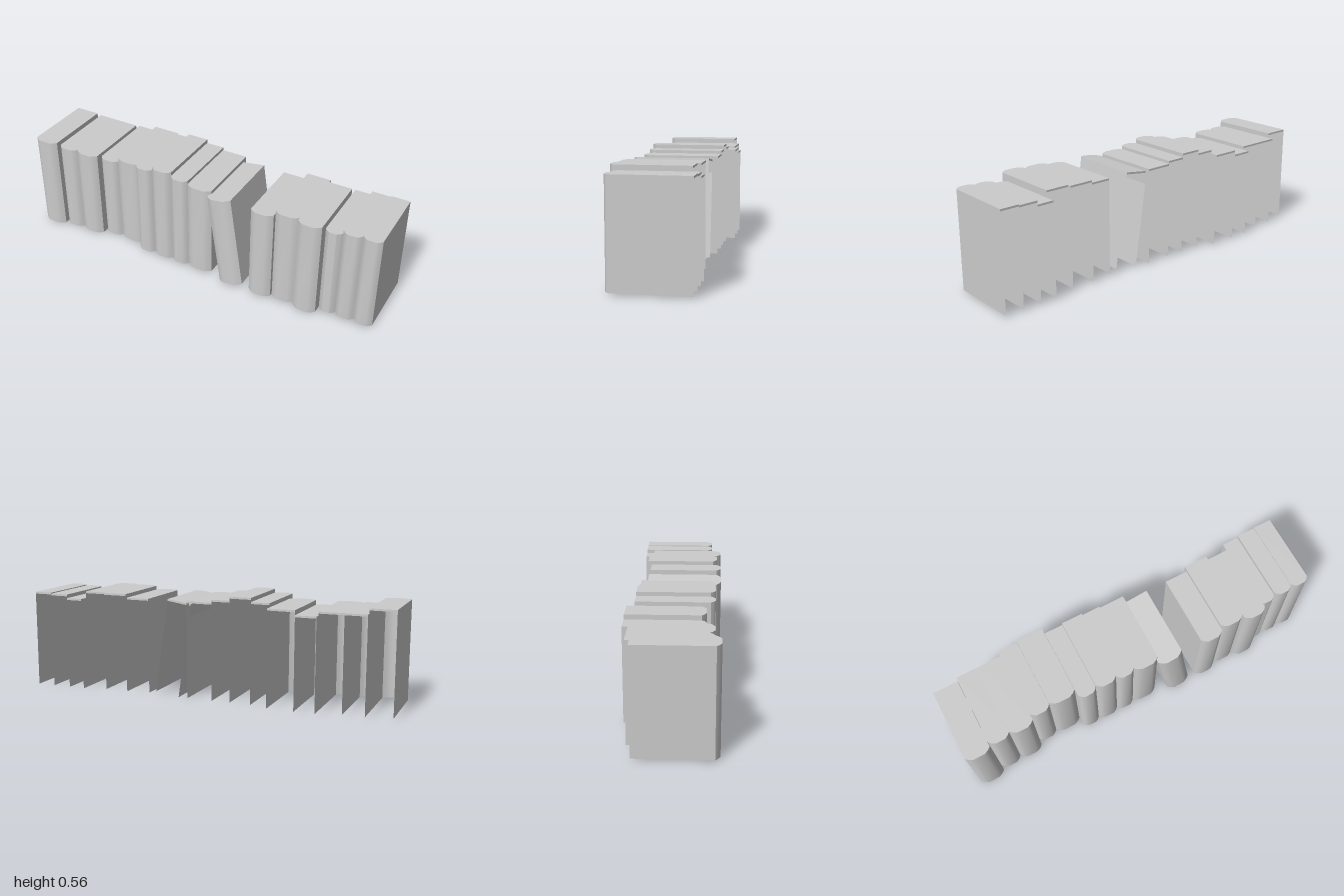
import * as THREE from 'three';
import { toCreasedNormals } from 'three/addons/utils/BufferGeometryUtils.js';

const grey = new THREE.MeshStandardMaterial({ color: 0xcccccc, side: THREE.DoubleSide });
grey.name = 'grey';

// Half of the rounded spine: [fraction of width, setback from the front]
const half = [[0, 0.025], [0.12, 0.011], [0.28, 0.001]];
const spine = [...half, ...half.map(([f, d]) => [1 - f, d]).reverse()];

// Hollow book shell, open at the back and bottom; left bottom edge lies on x = 0, y = 0
function bookGeometry(width, height, back, front) {
  const outline = [[0, back], ...spine.map(([f, d]) => [f * width, front - d]), [width, back]];
  const pos = [];
  const quad = (a, b, y0, y1) => {
    const [p, q, r, s] = [[a[0], y0, a[1]], [b[0], y0, b[1]], [b[0], y1, b[1]], [a[0], y1, a[1]]];
    pos.push(...p, ...q, ...r, ...p, ...r, ...s);
  };
  // Covers and spine
  for (let i = 0; i < outline.length - 1; i++) quad(outline[i], outline[i + 1], 0, height);
  // Narrow lip under the rear edge of the top
  quad(outline[outline.length - 1], outline[0], height - 0.01, height);
  // Top
  for (let i = 1; i < outline.length - 1; i++) {
    for (const [x, z] of [outline[0], outline[i], outline[i + 1]]) pos.push(x, height, z);
  }
  const geometry = new THREE.BufferGeometry();
  geometry.setAttribute('position', new THREE.Float32BufferAttribute(pos, 3));
  return toCreasedNormals(geometry, 0.6);
}

// Upright books: left edge, right edge, top, back, front
const books = [
  [-1, -0.865, 0.546, -0.17, 0.235],
  [-0.865, -0.75, 0.52, -0.2, 0.205],
  [-0.75, -0.62, 0.52, -0.2, 0.205],
  [-0.62, -0.51, 0.5, -0.235, 0.165],
  [-0.51, -0.365, 0.525, -0.235, 0.165],
  [-0.365, -0.265, 0.546, -0.195, 0.207],
  [-0.265, -0.15, 0.567, -0.195, 0.207],
  [-0.15, -0.05, 0.546, -0.195, 0.207],
  [-0.05, 0.09, 0.53, -0.195, 0.207],
  [0.33, 0.455, 0.525, -0.165, 0.235],
  [0.455, 0.585, 0.546, -0.185, 0.215],
  [0.585, 0.71, 0.546, -0.165, 0.235],
  [0.71, 0.8, 0.51, -0.217, 0.185],
  [0.8, 0.9, 0.53, -0.217, 0.185],
  [0.9, 1, 0.535, -0.217, 0.185],
];

export function createModel() {
  const group = new THREE.Group();
  group.name = 'bookRow';
  const floor = 0.01;
  books.forEach(([left, right, top, back, front], i) => {
    const book = new THREE.Mesh(bookGeometry(right - left, top - floor, back, front), grey);
    book.name = `book${i + 1}`;
    book.position.set(left, floor, 0);
    group.add(book);
  });

  // Book tilted against its neighbour
  const leaning = new THREE.Mesh(bookGeometry(0.135, 0.515, -0.165, 0.235), grey);
  leaning.name = 'leaningBook';
  leaning.position.set(0.155, 0.002, 0);
  leaning.rotation.z = 0.146;
  group.add(leaning);
  return group;
}
